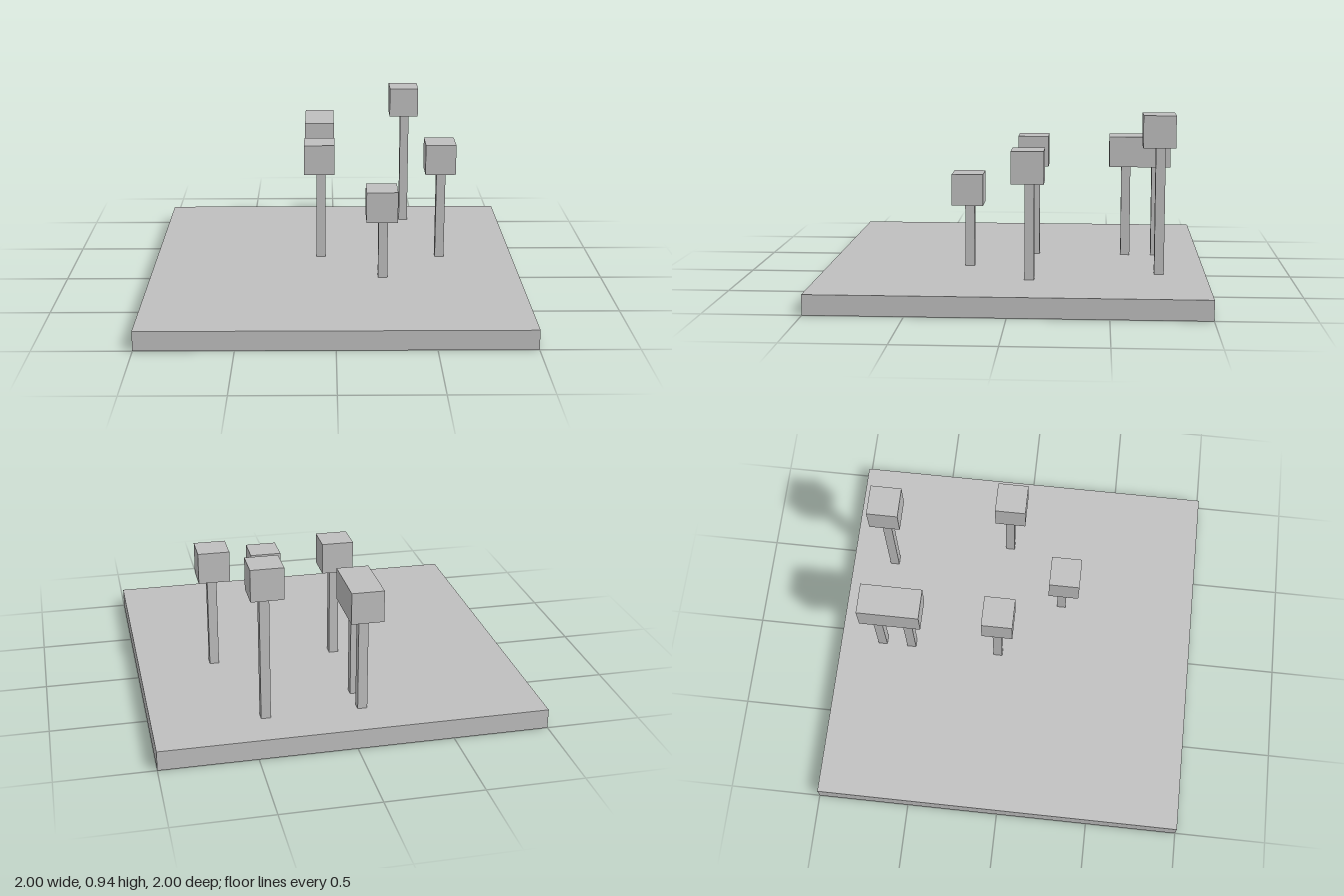
import * as THREE from 'three';

export function createModel() {
  const model = new THREE.Group();
  const grey = new THREE.MeshStandardMaterial({ color: 0xbfbfbf });
  grey.name = 'light grey';

  const CELL = 1 / 6;        // edge of one block
  const BASE = 0.104;        // thickness of the ground slab
  const POST = CELL * 0.3;   // width of a post
  const SHIFT = CELL * 0.05; // posts sit slightly off the block centres

  // Box given by its size, bottom height and centre in plan
  function addBox(parent, name, w, h, d, x, bottom, z) {
    const mesh = new THREE.Mesh(new THREE.BoxGeometry(w, h, d), grey);
    mesh.name = name;
    mesh.position.set(x, bottom + h / 2, z);
    parent.add(mesh);
  }

  addBox(model, 'groundSlab', 2, BASE, 2, 0, 0, 0);

  // Raised blocks: x and z of the first cell, post height in cells, cells in depth
  const blocks = [
    { x: -0.5, z: -4.5, height: 3, depth: 2 },
    { x: 2.5, z: -4.5, height: 4, depth: 1 },
    { x: -0.5, z: -0.5, height: 3, depth: 1 },
    { x: 3.5, z: -0.5, height: 3, depth: 1 },
    { x: 1.5, z: 1.5, height: 2, depth: 1 },
  ];

  for (const { x, z, height, depth } of blocks) {
    const group = new THREE.Group();
    group.name = 'raisedBlock';
    const rise = height * CELL;
    addBox(group, 'block', CELL, CELL, CELL * depth,
      x * CELL, BASE + rise, (z + (depth - 1) / 2) * CELL);
    // One post under every cell
    for (let i = 0; i < depth; i++) {
      addBox(group, 'post', POST, rise, POST,
        x * CELL + SHIFT, BASE, (z + i) * CELL - SHIFT);
    }
    model.add(group);
  }
  return model;
}
